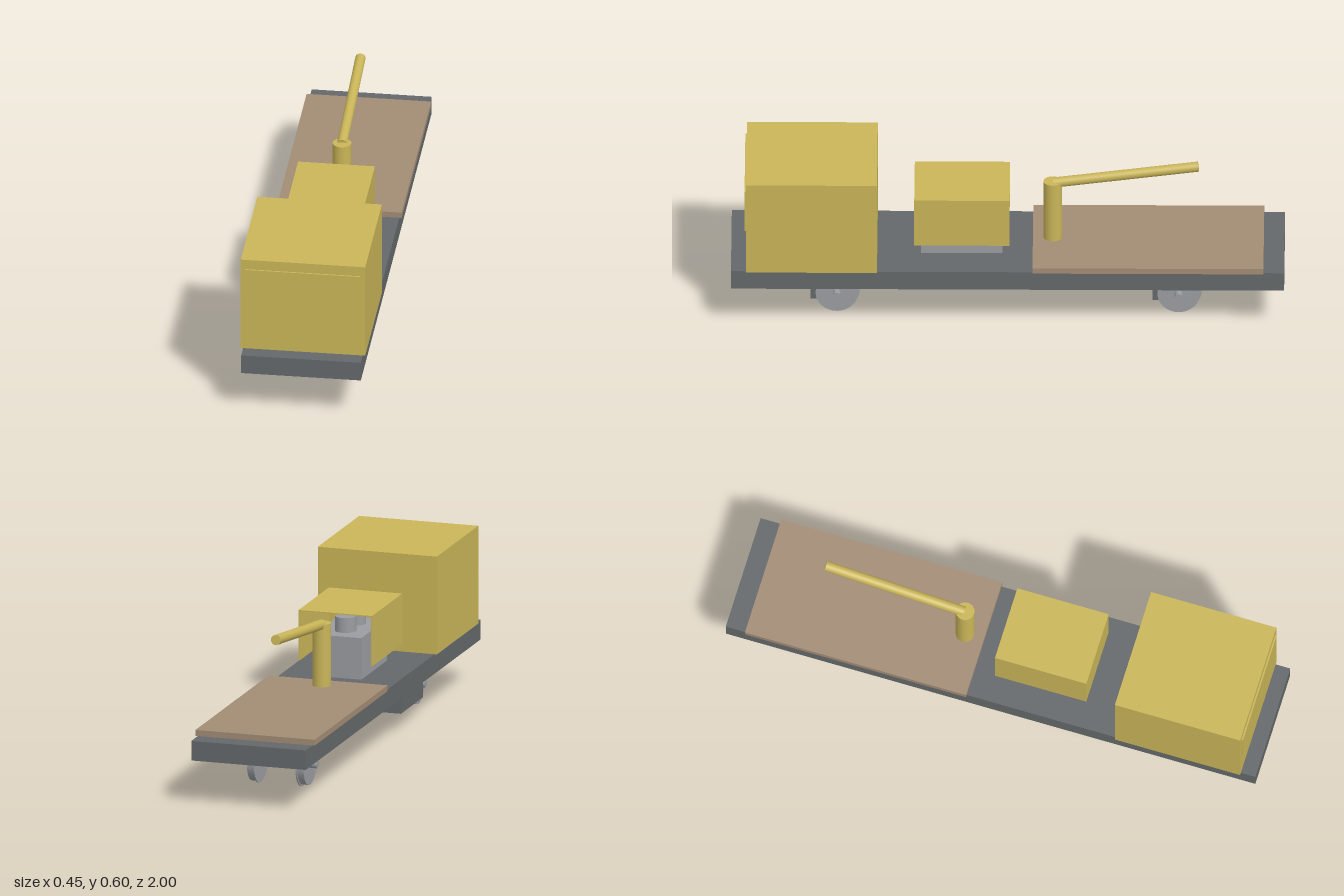
import * as THREE from 'three';

const paint = (name, color, side = THREE.FrontSide) => {
  const m = new THREE.MeshStandardMaterial({ color, side });
  m.name = name;
  return m;
};

export function createModel() {
  const yellow = paint('yellow bodywork', 0xc9b558);
  const dark = paint('dark chassis', 0x63686a);
  const steel = paint('grey steel', 0x9a9ca1);
  const wood = paint('wooden floor', 0xa28c75);

  const model = new THREE.Group();
  model.name = 'railTrolley';

  const add = (parent, name, geometry, material) => {
    const mesh = new THREE.Mesh(geometry, material);
    mesh.name = name;
    parent.add(mesh);
    return mesh;
  };

  // Box given by its limits on each axis
  const box = (parent, name, material, [x0, x1], [y0, y1], [z0, z1]) => {
    const mesh = add(parent, name, new THREE.BoxGeometry(x1 - x0, y1 - y0, z1 - z0), material);
    mesh.position.set((x0 + x1) / 2, (y0 + y1) / 2, (z0 + z1) / 2);
    return mesh;
  };

  // Round bar between two points
  const bar = (parent, name, material, from, to, radius, sides = 24) => {
    const a = new THREE.Vector3(...from), b = new THREE.Vector3(...to);
    const dir = b.clone().sub(a);
    const mesh = add(parent, name, new THREE.CylinderGeometry(radius, radius, dir.length(), sides), material);
    mesh.position.copy(a).add(b).multiplyScalar(0.5);
    mesh.quaternion.setFromUnitVectors(new THREE.Vector3(0, 1, 0), dir.normalize());
    return mesh;
  };

  // Chassis and load floor
  box(model, 'chassis', dark, [-0.218, 0.218], [0.162, 0.235], [-1, 1]);
  box(model, 'loadFloor', wood, [-0.227, 0.227], [0.235, 0.257], [-0.925, -0.09]);

  // Cab with its front panel
  box(model, 'cab', yellow, [-0.227, 0.227], [0.235, 0.6], [0.472, 0.945]);
  box(model, 'cabFrontPanel', yellow, [-0.21, 0.21], [0.399, 0.562], [0.944, 0.951]);

  // Engine hood of thin sheet, open below and at the rear
  const hood = new THREE.Group();
  hood.name = 'engineHood';
  model.add(hood);
  const t = 0.004;
  box(hood, 'hoodTop', yellow, [-0.14, 0.14], [0.488 - t, 0.488], [-0.007, 0.338]);
  box(hood, 'hoodFront', yellow, [-0.14 + t, 0.14 - t], [0.3, 0.488 - t], [0.338 - t, 0.338]);
  box(hood, 'hoodLeft', yellow, [0.14 - t, 0.14], [0.3, 0.488 - t], [-0.007, 0.338]);
  box(hood, 'hoodRight', yellow, [-0.14, -0.14 + t], [0.3, 0.488 - t], [-0.007, 0.338]);

  // Engine block and cylinders under the hood
  box(model, 'engineBlock', steel, [-0.09, 0.09], [0.24, 0.395], [0.019, 0.313]);
  for (const z of [0.11, 0.222]) {
    bar(model, 'engineCylinder', steel, [0, 0.39, z], [0, 0.45, z], 0.039);
  }

  // Crane
  bar(model, 'cranePost', yellow, [0, 0.235, -0.162], [0, 0.49, -0.162], 0.034);
  bar(model, 'craneBoom', yellow, [0, 0.484, -0.165], [0, 0.553, -0.688], 0.0185);

  // Underfloor tank, gearbox and drive shaft
  box(model, 'tank', dark, [-0.173, -0.045], [0.07, 0.163], [0.222, 0.473]);
  box(model, 'gearbox', steel, [-0.053, 0.053], [0.086, 0.163], [-0.088, 0.019]);
  bar(model, 'driveShaft', steel, [0, 0.123, -0.06], [0, 0.088, -0.618], 0.01, 16);

  // Wheelsets: axle, flanged wheels and brake blocks
  for (const z of [0.618, -0.618]) {
    const set = new THREE.Group();
    set.name = z > 0 ? 'frontWheelset' : 'rearWheelset';
    set.position.set(0, 0.083, z);
    model.add(set);
    bar(set, 'axle', steel, [-0.136, 0, 0], [0.136, 0, 0], 0.0145);
    for (const s of [-1, 1]) {
      bar(set, 'wheelTread', steel, [s * 0.083, 0, 0], [s * 0.108, 0, 0], 0.077, 32);
      bar(set, 'wheelFlange', steel, [s * 0.079, 0, 0], [s * 0.084, 0, 0], 0.083, 32);
      box(set, 'brakeBlock', dark, [s * 0.098 - 0.008, s * 0.098 + 0.008], [-0.027, 0.027], [0.07, 0.095]);
    }
  }

  return model;
}
